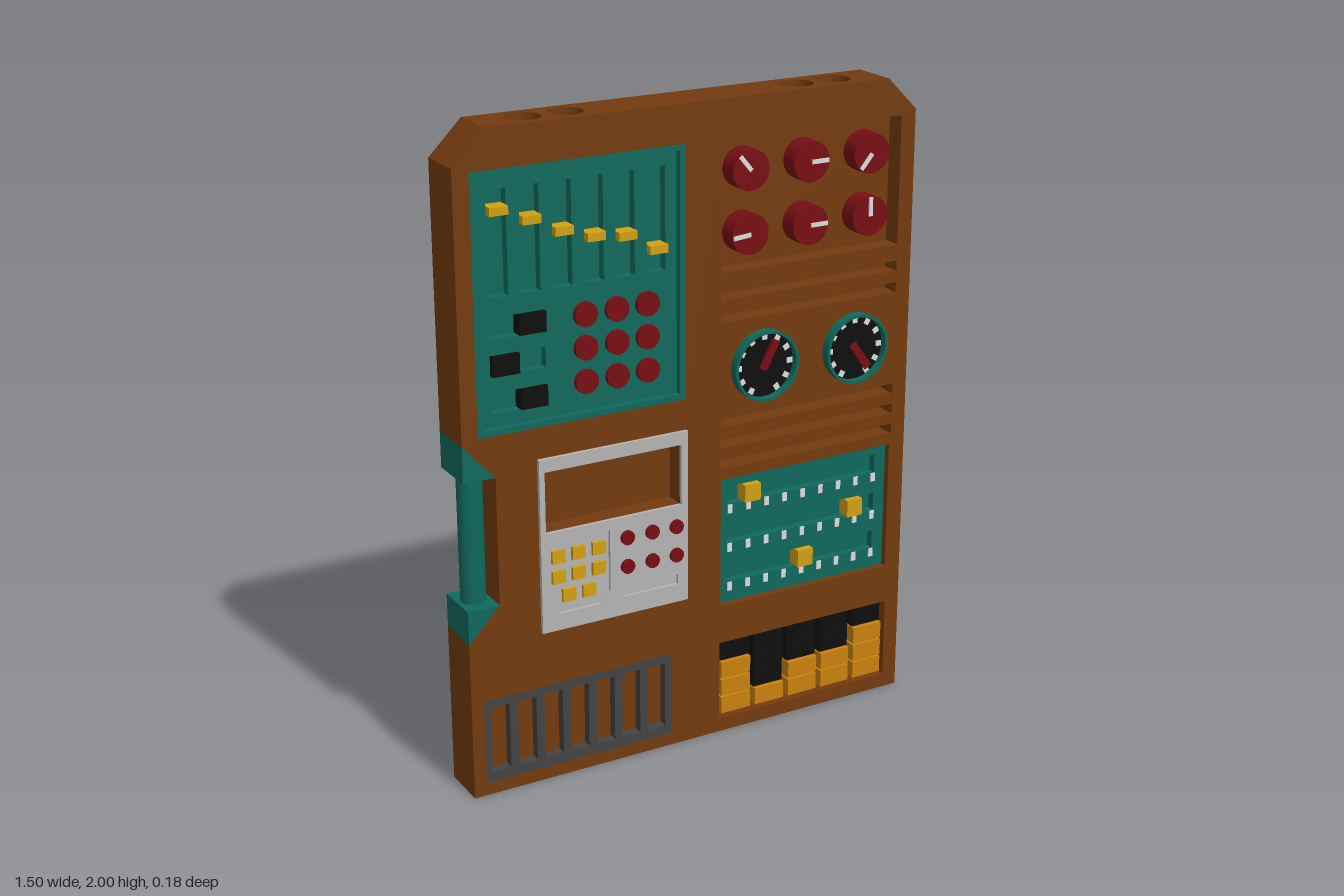
import * as THREE from 'three';

const mat = (name, color) => Object.assign(new THREE.MeshStandardMaterial({ color }), { name });

export function createModel() {
  const M = {
    brown: mat('wood brown', 0x733b0f), teal: mat('teal', 0x10695d), red: mat('dark red', 0x780e14),
    yellow: mat('yellow', 0xd2a012), orange: mat('orange', 0xca820f), black: mat('black', 0x0e0e0e),
    dark: mat('dark grey', 0x434343), grey: mat('light grey', 0xb4b4b4), white: mat('off white', 0xdcdcdc),
  };
  const root = new THREE.Group();
  root.name = 'controlPanel';
  const F = 0.06, B = -0.09; // front and back planes of the board

  const group = (name) => {
    const g = new THREE.Group();
    g.name = name;
    root.add(g);
    return g;
  };
  const add = (parent, name, geo, m) => {
    const mesh = new THREE.Mesh(geo, m);
    mesh.name = name;
    parent.add(mesh);
    return mesh;
  };
  // Box centred on x, y and reaching from z0 to z1
  const box = (p, name, m, x, y, w, h, z0, z1) => {
    const b = add(p, name, new THREE.BoxGeometry(w, h, z1 - z0), m);
    b.position.set(x, y, (z0 + z1) / 2);
    return b;
  };
  // Disc facing the front
  const disc = (p, name, m, x, y, r, z0, z1) => {
    const d = add(p, name, new THREE.CylinderGeometry(r, r, z1 - z0, 32).rotateX(Math.PI / 2), m);
    d.position.set(x, y, (z0 + z1) / 2);
    return d;
  };
  // Bar starting at x, y and pointing along an angle in degrees
  const pointer = (p, name, m, x, y, deg, from, to, w, z0, z1) => {
    const a = THREE.MathUtils.degToRad(deg), r = (from + to) / 2;
    box(p, name, m, x + r * Math.cos(a), y + r * Math.sin(a), to - from, w, z0, z1).rotation.z = a;
  };
  const poly = (pts) => pts.map(([x, y]) => new THREE.Vector2(x, y));
  const rect = (x0, y0, x1, y1) => poly([[x0, y0], [x1, y0], [x1, y1], [x0, y1]]);
  const rectC = (x, y, w, h) => rect(x - w / 2, y - h / 2, x + w / 2, y + h / 2);
  // Plate from z0 to z1 with holes cut through
  const plate = (p, name, m, outline, holes, z0, z1) => {
    const s = new THREE.Shape(outline);
    holes.forEach((h) => s.holes.push(new THREE.Path(h)));
    const geo = new THREE.ExtrudeGeometry(s, { depth: z1 - z0, bevelEnabled: false, curveSegments: 32 });
    const mesh = add(p, name, geo, m);
    mesh.position.z = z0;
    return mesh;
  };

  // Board: solid back layer, front layer with recesses, top strip with round sockets
  const board = group('board');
  const capY = 1.96;
  const outline = poly([[-0.75, 0], [0.75, 0], [0.75, 1.9], [0.65, 2], [0.65, capY], [-0.65, capY],
    [-0.65, 2], [-0.75, 1.9], [-0.75, 1.11], [-0.65, 1], [-0.65, 0.605], [-0.75, 0.5]]);
  const mixer = rect(-0.7, 1.125, -0.037, 1.885), tuner = rect(0.087, 0.43, 0.695, 0.845);
  const grille = rect(-0.71, 0.04, -0.083, 0.31), screen = rect(-0.503, 0.8, -0.055, 0.99);
  const vents = [1.423, 1.355, 1.029, 0.963, 0.897].map((y) => rect(0.085, y - 0.016, 0.7, y + 0.016));
  plate(board, 'boardBack', M.brown, outline, [], B, 0);
  plate(board, 'boardFront', M.brown, outline,
    [mixer, tuner, grille, screen, rect(0.085, 1.49, 0.7, 1.885), rect(0.085, 0.045, 0.7, 0.305), ...vents], 0, F);
  const cap = new THREE.Shape(rect(-0.65, -F, 0.65, -B));
  for (const x of [-0.5, -0.37, 0.378, 0.505]) {
    cap.holes.push(new THREE.Path().absarc(x, 0.018, 0.051, 0, Math.PI * 2));
  }
  const capGeo = new THREE.ExtrudeGeometry(cap, { depth: 2 - capY, bevelEnabled: false, curveSegments: 24 });
  add(board, 'socketStrip', capGeo.rotateX(-Math.PI / 2), M.brown).position.y = capY;

  // Carrying handle in the side notch
  const handle = group('handle');
  plate(handle, 'handleTop', M.teal, poly([[-0.75, 1], [-0.65, 1], [-0.75, 1.11]]), [], B, F);
  plate(handle, 'handleBottom', M.teal, poly([[-0.75, 0.5], [-0.65, 0.605], [-0.75, 0.605]]), [], B, F);
  add(handle, 'handleBar', new THREE.CylinderGeometry(0.038, 0.038, 0.4, 24), M.teal).position.set(-0.699, 0.803, -0.015);

  // Mixer panel with sliders, switches and buttons
  const mix = group('mixerPanel');
  const levels = [1.767, 1.73, 1.685, 1.655, 1.643, 1.59];
  const sx = (i) => -0.615 + i * 0.099;
  const switchY = [1.432, 1.323, 1.213];
  const inner = poly([[-0.685, 1.143], [-0.053, 1.143], [-0.053, 1.868], [-0.655, 1.868], [-0.685, 1.838]]);
  plate(mix, 'mixerRim', M.teal, mixer, [inner], 0.001, F);
  box(mix, 'mixerBase', M.teal, -0.369, 1.505, 0.65, 0.74, 0.001, 0.012);
  plate(mix, 'mixerFace', M.teal, inner,
    [...levels.map((_, i) => rectC(sx(i), 1.673, 0.06, 0.305)), ...switchY.map((y) => rectC(-0.561, y, 0.172, 0.062))],
    0.012, 0.04);
  levels.forEach((y, i) => box(mix, 'slider', M.yellow, sx(i), y, 0.057, 0.025, 0.012, 0.06));
  switchY.forEach((y, i) => box(mix, 'switch', M.black, i === 1 ? -0.602 : -0.517, y, 0.083, 0.06, 0.012, 0.052));
  for (const x of [-0.352, -0.252, -0.153]) {
    for (const y of [1.432, 1.333, 1.232]) disc(mix, 'roundButton', M.red, x, y, 0.036, 0.04, 0.056);
  }

  // Rotary knobs in their recess
  const knobs = group('knobs');
  const angles = [[130, 0, 230], [185, 0, 90]];
  [1.782, 1.592].forEach((y, r) => [0.182, 0.388, 0.598].forEach((x, c) => {
    disc(knobs, 'knob', M.red, x, y, 0.061, 0, 0.06);
    pointer(knobs, 'knobMark', M.white, x, y, angles[r][c], 0, 0.058, 0.013, 0.06, 0.064);
  }));

  // Gauges
  [[0.228, 62], [0.548, -55]].forEach(([x, deg]) => {
    const g = group('gauge'), y = 1.19;
    const ring = new THREE.Shape().absarc(x, y, 0.109, 0, Math.PI * 2);
    ring.holes.push(new THREE.Path().absarc(x, y, 0.1, 0, Math.PI * 2));
    const geo = new THREE.ExtrudeGeometry(ring, { depth: 0.03, bevelEnabled: false, curveSegments: 32 });
    add(g, 'gaugeRing', geo, M.teal).position.z = F;
    disc(g, 'gaugeFace', M.black, x, y, 0.1, F, 0.068);
    for (let i = 0; i < 11; i++) {
      pointer(g, 'gaugeTick', M.white, x, y, -60 + i * 30, 0.078, 0.097, 0.017, 0.068, 0.071);
    }
    pointer(g, 'needle', M.red, x, y, deg, -0.015, 0.082, 0.024, 0.068, 0.078);
  });

  // Calculator
  const calc = group('calculator');
  const pad = poly([[-0.499, 0.575], [-0.465, 0.54], [-0.33, 0.54], [-0.296, 0.575], [-0.296, 0.768], [-0.499, 0.768]]);
  plate(calc, 'calculatorBody', M.grey, rect(-0.52, 0.487, -0.033, 1.03),
    [screen, pad, rect(-0.255, 0.545, -0.068, 0.577)], F, 0.072);
  box(calc, 'calculatorBase', M.grey, -0.277, 0.645, 0.46, 0.27, 0.059, 0.062);
  const keys = [[-0.431, 0.593], [-0.365, 0.593]];
  for (const x of [-0.463, -0.398, -0.332]) keys.push([x, 0.72], [x, 0.656]);
  keys.forEach(([x, y]) => box(calc, 'key', M.yellow, x, y, 0.042, 0.04, 0.062, 0.073));
  for (const x of [-0.24, -0.157, -0.075]) {
    for (const y of [0.735, 0.643]) disc(calc, 'calculatorButton', M.red, x, y, 0.022, 0.072, 0.082);
  }

  // Tuner with three sliding blocks and scales
  const tune = group('tuner');
  const rows = [[0.782, 0.2], [0.655, 0.573], [0.525, 0.393]];
  box(tune, 'tunerBase', M.teal, 0.391, 0.6375, 0.608, 0.415, 0.001, 0.015);
  plate(tune, 'tunerFace', M.teal, tuner, rows.map(([y]) => rect(0.118, y - 0.029, 0.655, y + 0.029)), 0.015, 0.04);
  rows.forEach(([y, x]) => {
    box(tune, 'tunerBlock', M.yellow, x, y, 0.055, 0.055, 0.015, 0.06);
    for (let i = 0; i < 9; i++) box(tune, 'scaleMark', M.white, 0.13 + i * 0.065, y - 0.045, 0.016, 0.028, 0.04, 0.043);
  });

  // Level meter columns
  const meter = group('levelMeter');
  [3, 1, 2, 2, 3].forEach((lit, c) => {
    for (let r = 0; r < 4; r++) {
      const on = r < lit;
      box(meter, on ? 'litSegment' : 'darkSegment', on ? M.orange : M.black,
        0.148 + c * 0.1225, 0.084 + r * 0.0605, 0.104, on ? 0.055 : 0.06, 0, on ? 0.055 : 0.045);
    }
  });

  // Speaker grille
  const slots = Array.from({ length: 7 }, (_, i) => rectC(-0.659 + i * 0.087, 0.178, 0.06, 0.212));
  plate(group('speaker'), 'grille', M.dark, grille, slots, 0.03, F);

  return root;
}
